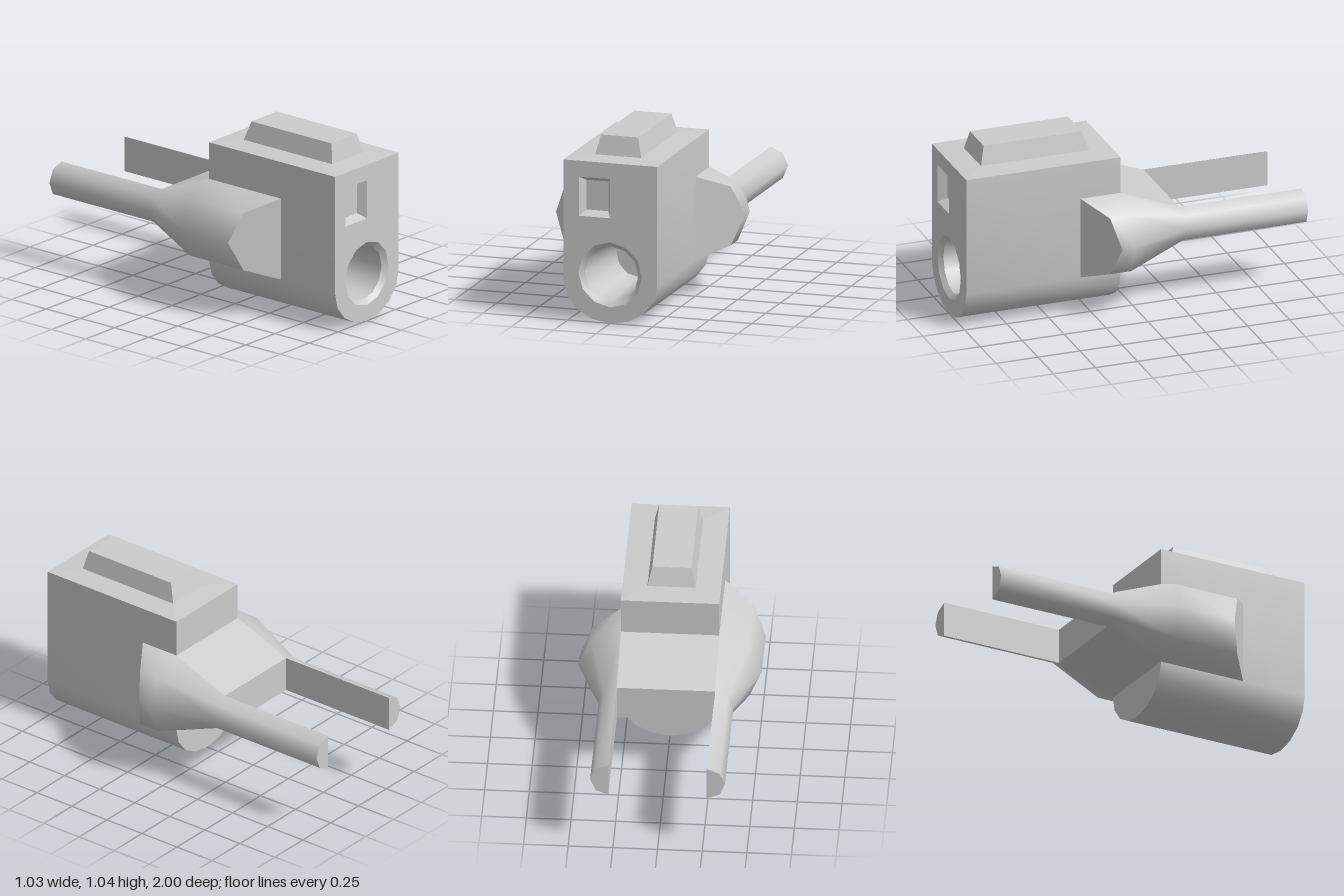
import * as THREE from 'three';
import { toCreasedNormals } from 'three/addons/utils/BufferGeometryUtils.js';

const material = new THREE.MeshStandardMaterial({ color: 0xcccccc });
const V = (x, y, z) => new THREE.Vector3(x, y, z);

// Skin through rings of equal length, with optional flat caps (rings are convex).
function loft(rings, capStart, capEnd) {
  const pts = [];
  const tri = (...corners) => corners.forEach((p) => pts.push(p));
  const n = rings[0].length;
  for (let i = 0; i < rings.length - 1; i++) {
    for (let j = 0; j < n; j++) {
      const k = (j + 1) % n;
      const [a, b, c, d] = [rings[i][j], rings[i][k], rings[i + 1][k], rings[i + 1][j]];
      tri(a, b, c);
      tri(a, c, d);
    }
  }
  const first = rings[0], last = rings[rings.length - 1];
  for (let j = 1; j < n - 1; j++) {
    if (capStart) tri(first[0], first[j + 1], first[j]);
    if (capEnd) tri(last[0], last[j], last[j + 1]);
  }
  return new THREE.BufferGeometry().setFromPoints(pts);
}

function addPart(group, name, geometry, crease = 0.85) {
  const mesh = new THREE.Mesh(toCreasedNormals(geometry, crease), material);
  mesh.name = name;
  group.add(mesh);
}

// Outlines in the xy plane, counter-clockwise seen from the front.
const rect = (x0, x1, y0, y1) => [[x0, y0], [x1, y0], [x1, y1], [x0, y1]];
const polygon = (r, cy, sides) => Array.from({ length: sides }, (_, i) => {
  const a = Math.PI / 2 + (i / sides) * Math.PI * 2;
  return [r * Math.cos(a), cy + r * Math.sin(a)];
});
const atZ = (outline, z) => outline.map(([x, y]) => V(x, y, z));
const toPoints = (outline) => outline.map(([x, y]) => new THREE.Vector2(x, y));

export function createModel() {
  const group = new THREE.Group();
  const W = 0.275, BACK = 0.08, TOP = 0.922;

  // Body: straight sides and a rounded belly
  const outline = [[W, TOP], [-W, TOP]];
  for (let i = 0; i <= 8; i++) {
    const a = Math.PI + (i / 8) * Math.PI;
    outline.push([W * Math.cos(a), 0.228 + 0.228 * Math.sin(a)]);
  }
  addPart(group, 'body', loft([atZ(outline, BACK), atZ(outline, 1)], true, false));

  // Front face with openings for the window and the bore
  const windowOuter = rect(-0.185, 0, 0.605, 0.83);
  const windowInner = rect(-0.157, -0.027, 0.632, 0.803);
  const boreOuter = polygon(0.187, 0.279, 12);
  const face = new THREE.Shape(toPoints(outline));
  face.holes.push(new THREE.Path(toPoints(windowOuter)), new THREE.Path(toPoints(boreOuter)));
  const faceGeometry = new THREE.ShapeGeometry(face);
  faceGeometry.translate(0, 0, 1);
  addPart(group, 'frontFace', faceGeometry);

  // Recesses going back from the front face
  addPart(group, 'windowRecess', loft([atZ(windowOuter, 1), atZ(windowInner, 0.95)], false, true), 0.3);
  const boreRim = polygon(0.158, 0.279, 12);
  addPart(group, 'boreRim', loft([atZ(boreOuter, 1), atZ(boreRim, 0.975)], false, false));
  addPart(group, 'bore', loft([atZ(boreRim, 0.975), atZ(polygon(0.13, 0.279, 12), 0.5)], false, true));

  // Roof, rising very slightly to a bevelled block
  const level = (x, y, z0, z1) => [V(-x, y, z1), V(x, y, z1), V(x, y, z0), V(-x, y, z0)];
  const roofBase = level(0.135, 0.93, 0.215, 0.86);
  addPart(group, 'roof', loft([level(W, TOP, BACK, 1), roofBase], false, false), 0.01);
  addPart(group, 'roofBlock', loft([roofBase, level(0.11, 1.04, 0.25, 0.835)], false, true), 0.3);

  // Side pods: half octagons with a slanted front, tapering back into rods
  const CY = 0.467, R = 0.239, ROD = 0.102, NECK = -0.265;
  const halfRing = (side, r, zAt) => Array.from({ length: 5 }, (_, i) => {
    const a = (side > 0 ? -Math.PI / 2 : Math.PI / 2) + (i * Math.PI) / 4;
    const x = r * Math.cos(a);
    return V(side * W + x, CY + r * Math.sin(a), zAt(Math.abs(x)));
  });
  for (const [name, side, front, slope] of [['leftPod', 1, 0.32, 0.68], ['rightPod', -1, 0.605, 0.78]]) {
    addPart(group, name, loft([
      halfRing(side, ROD, () => -1),
      halfRing(side, ROD, () => NECK),
      halfRing(side, R, () => BACK),
      halfRing(side, R, (x) => front - slope * x),
    ], true, true));
  }

  // Wedge bridging the pods behind the body
  addPart(group, 'rearBridge', loft([
    atZ(rect(-W, W, CY - ROD, CY + ROD), NECK),
    atZ(rect(-W, W, CY - R, CY + R), BACK),
  ], true, false), 0.3);

  return group;
}
